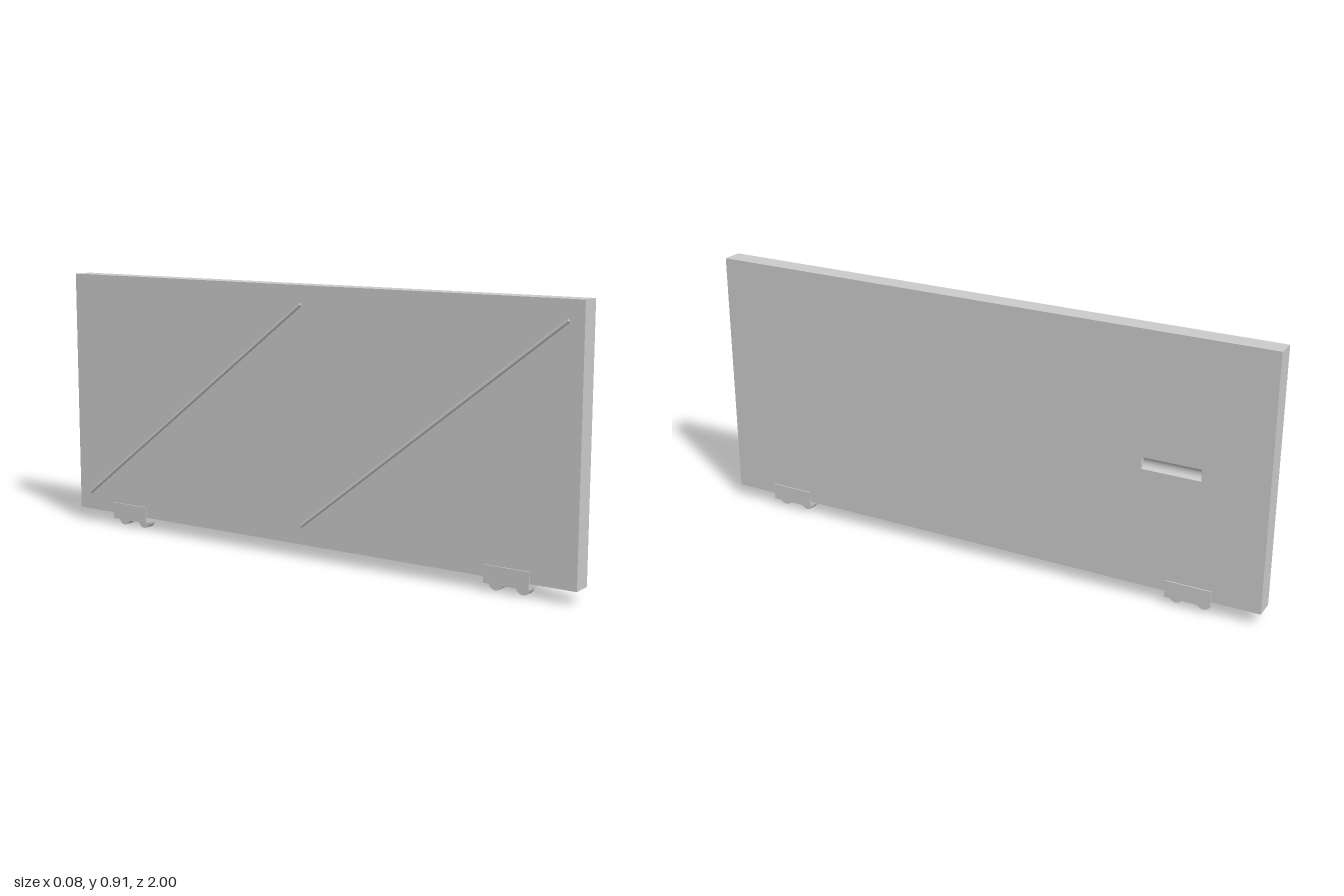
import * as THREE from 'three';

export function createModel() {
  const model = new THREE.Group();
  const grey = new THREE.MeshStandardMaterial({ color: 0xcccccc });
  const thin = new THREE.MeshStandardMaterial({ color: 0xcccccc, side: THREE.DoubleSide });

  const add = (parent, name, geometry, x, y, z, material = grey) => {
    const mesh = new THREE.Mesh(geometry, material);
    mesh.name = name;
    mesh.position.set(x, y, z);
    parent.add(mesh);
    return mesh;
  };

  // Door slab: a solid core and a front skin with an opening for the finger pull
  const bottom = 0.045, top = 0.91, left = -0.034, right = 0.036, skin = 0.02;
  const height = top - bottom, midY = (top + bottom) / 2;
  const core = right - left - skin;
  add(model, 'doorCore', new THREE.BoxGeometry(core, height, 2), left + core / 2, midY, 0);

  const rectangle = (path, x0, y0, x1, y1) =>
    path.moveTo(x0, y0).lineTo(x1, y0).lineTo(x1, y1).lineTo(x0, y1).closePath();
  const face = new THREE.Shape();
  rectangle(face, -1, bottom, 1, top);
  const opening = new THREE.Path();
  rectangle(opening, 0.58, 0.45, 0.78, 0.49);
  face.holes.push(opening);
  const skinGeometry = new THREE.ExtrudeGeometry(face, { depth: skin, bevelEnabled: false });
  skinGeometry.rotateY(Math.PI / 2);
  add(model, 'doorSkin', skinGeometry, right - skin, 0, 0);

  // Concave lining of the finger pull
  const scoop = new THREE.CylinderGeometry(0.02, 0.02, 0.2, 20, 1, true, Math.PI, Math.PI);
  scoop.rotateX(Math.PI / 2).scale(0.9, 1, 1);
  add(model, 'fingerPull', scoop, right, 0.47, -0.68, thin);

  // Two slanted round bars on the other face
  const rise = 0.74, run = 0.95;
  for (const z of [-run / 2, run / 2]) {
    const bar = add(model, 'slantedBar',
      new THREE.CylinderGeometry(0.0065, 0.0065, Math.hypot(rise, run), 16), left, 0.478, z);
    bar.rotation.x = Math.atan2(run, rise);
  }

  // Roller carriages clipped around the lower edge
  for (const z of [0.767, -0.758]) {
    const carriage = new THREE.Group();
    carriage.name = 'rollerCarriage';
    carriage.position.set(0.001, 0, z);
    model.add(carriage);
    add(carriage, 'bracketBase', new THREE.BoxGeometry(0.078, 0.02, 0.155), 0, 0.035, 0);
    for (const side of [-1, 1]) {
      add(carriage, 'bracketCheek', new THREE.BoxGeometry(0.004, 0.058, 0.155), side * 0.037, 0.054, 0);
      const wheel = new THREE.CylinderGeometry(0.025, 0.025, 0.031, 24);
      wheel.rotateZ(Math.PI / 2);
      add(carriage, 'wheel', wheel, 0, 0.025, side * 0.047);
    }
  }
  return model;
}
